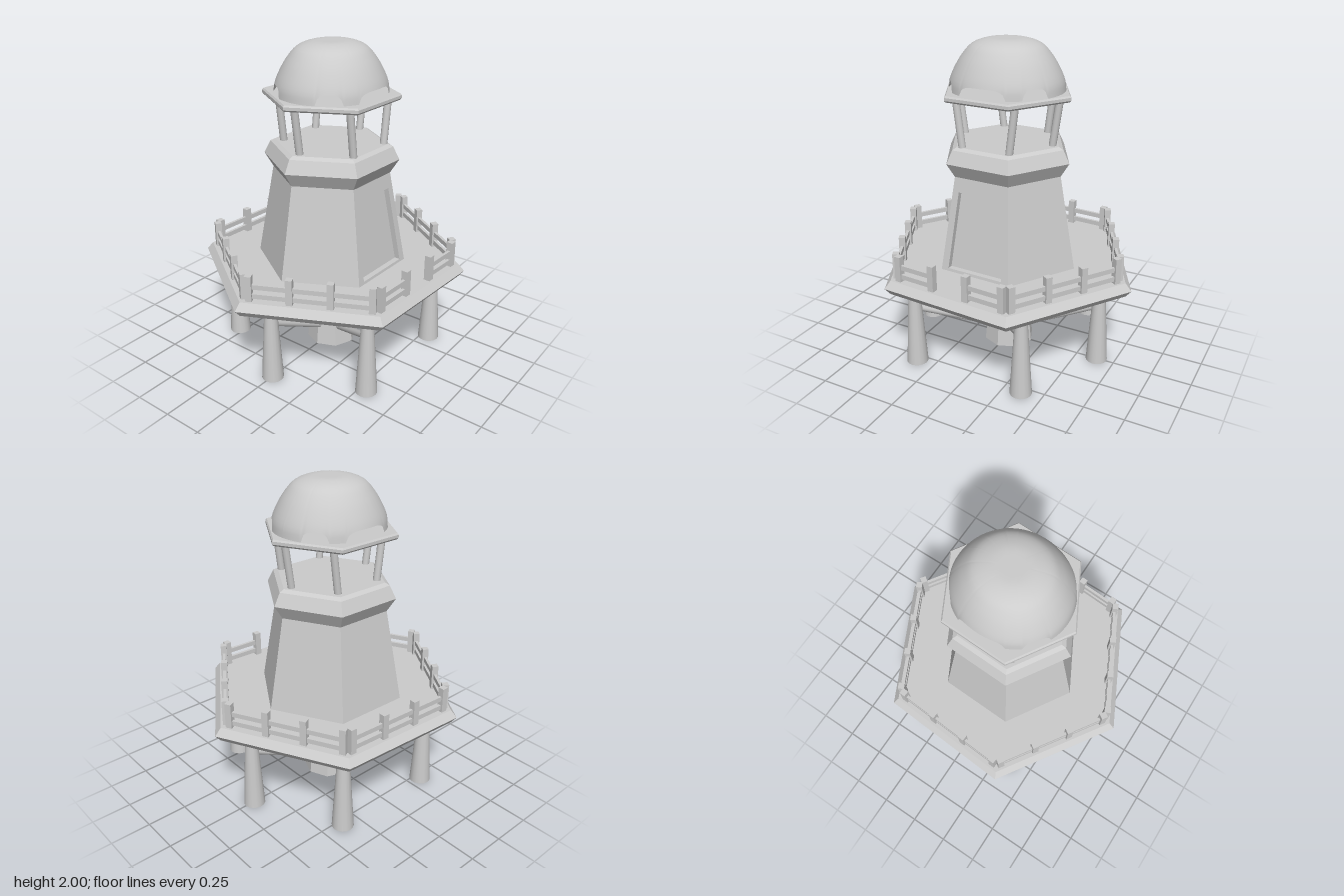
import * as THREE from 'three';

const V = (x, y, z) => new THREE.Vector3(x, y, z);
const rad = THREE.MathUtils.degToRad;
const grey = new THREE.MeshStandardMaterial({ color: 0xcccccc });
const greyFlat = new THREE.MeshStandardMaterial({ color: 0xcccccc, flatShading: true });
const greyThin = new THREE.MeshStandardMaterial({ color: 0xcccccc, side: THREE.DoubleSide });

function add(parent, name, geometry, material = grey) {
  const mesh = new THREE.Mesh(geometry, material);
  mesh.name = name;
  parent.add(mesh);
  return mesh;
}

// Point at an angle measured from +x towards +z
const polar = (r, deg, y) => V(r * Math.cos(rad(deg)), y, r * Math.sin(rad(deg)));

// Flat-sided hexagonal solid; the first corner sits at angle deg
function hexSolid(profile, deg, sides = 6) {
  const pts = profile.map(([r, y]) => new THREE.Vector2(r, y));
  return new THREE.LatheGeometry(pts, sides, rad(90 - deg), (sides / 6) * Math.PI * 2);
}

// Round bar between two points
function bar(parent, name, a, b, rA, rB = rA, sides = 12) {
  const mesh = add(parent, name, new THREE.CylinderGeometry(rB, rA, a.distanceTo(b), sides));
  mesh.position.copy(a).lerp(b, 0.5);
  mesh.quaternion.setFromUnitVectors(V(0, 1, 0), b.clone().sub(a).normalize());
}

// Square-section beam whose length runs from a to b
function beam(parent, name, a, b, height, depth) {
  const mesh = add(parent, name, new THREE.BoxGeometry(a.distanceTo(b), height, depth));
  mesh.position.copy(a).lerp(b, 0.5);
  mesh.rotation.y = -Math.atan2(b.z - a.z, b.x - a.x);
}

// Front wall with a sunken doorway, built from four-cornered faces
function doorWall(rLow, yLow, rHigh, yHigh, deg) {
  const at = (u, v) => polar(rLow, deg + 60, yLow).lerp(polar(rLow, deg, yLow), u)
    .lerp(polar(rHigh, deg + 60, yHigh).lerp(polar(rHigh, deg, yHigh), u), v);
  const outer = [at(0, 0), at(1, 0), at(1, 1), at(0, 1)];
  const rim = [at(0.1, 0.05), at(0.9, 0.05), at(0.89, 0.84), at(0.11, 0.84)];
  const sunk = rim.map((p) => p.clone().add(V(0, 0, -0.035)));
  const pos = [];
  const quad = (a, b, c, d) => [a, b, c, a, c, d].forEach((p) => pos.push(p.x, p.y, p.z));
  for (let i = 0; i < 4; i++) {
    const j = (i + 1) % 4;
    quad(outer[i], outer[j], rim[j], rim[i]);
    quad(rim[i], rim[j], sunk[j], sunk[i]);
  }
  quad(...sunk);
  const g = new THREE.BufferGeometry();
  g.setAttribute('position', new THREE.Float32BufferAttribute(pos, 3));
  g.computeVertexNormals();
  return g;
}

// Smooth dome shell whose lower edge rises into six arches
function domeGeometry() {
  const arches = [[90, 25], [270, 25], [36, 13], [144, 13], [216, 13], [324, 13]];
  const profile = new THREE.CatmullRomCurve3([
    V(0.355, 1.7, 0), V(0.346, 1.76, 0), V(0.31, 1.84, 0), V(0.265, 1.91, 0),
    V(0.21, 1.966, 0), V(0.115, 1.998, 0), V(0, 2, 0)]);
  const cols = 144, rows = 20, pos = [], index = [];
  for (let i = 0; i <= cols; i++) {
    const deg = (i / cols) * 360;
    let rise = 0;
    for (const [mid, half] of arches) {
      const d = Math.abs(((deg - mid + 540) % 360) - 180) / half;
      if (d < 1) rise = Math.sqrt(1 - d ** 4);
    }
    const start = rise * 0.165;
    for (let j = 0; j <= rows; j++) {
      const p = profile.getPoint(start + (1 - start) * (j / rows));
      const q = polar(p.x, deg, Math.min(p.y, 2));
      pos.push(q.x, q.y, q.z * 0.95);
      if (i < cols && j < rows) {
        const a = i * (rows + 1) + j, b = a + rows + 1;
        index.push(a, a + 1, b, b, a + 1, b + 1);
      }
    }
  }
  const g = new THREE.BufferGeometry();
  g.setAttribute('position', new THREE.Float32BufferAttribute(pos, 3));
  g.setIndex(index);
  g.computeVertexNormals();
  return g;
}

export function createModel() {
  const model = new THREE.Group();
  model.name = 'stiltTower';

  // Deck with a bevelled rim and a shallow conical underside
  const turn = 3.6;
  add(model, 'deck', hexSolid(
    [[0, 0.483], [0.82, 0.525], [0.855, 0.567], [0.815, 0.613], [0, 0.613]], turn), greyFlat);

  // Central pillar under the deck
  add(model, 'pillar', hexSolid([[0, 0], [0.165, 0], [0.12, 0.45], [0, 0.45]], 0, 6), greyFlat)
    .geometry = new THREE.CylinderGeometry(0.122, 0.165, 0.45, 8).translate(0, 0.225, 0);

  // Stilts and their slanting braces
  const stilts = new THREE.Group();
  stilts.name = 'stilts';
  model.add(stilts);
  const feet = [[0.634, 0], [0.364, 0.545], [-0.376, 0.545], [-0.61, 0], [-0.34, -0.535], [0.36, -0.535]];
  for (const [x, z] of feet) {
    bar(stilts, 'stilt', V(x, 0, z), V(x, 0.52, z), 0.068, 0.036, 16);
    const out = V(x, 0, z);
    const dir = out.clone().normalize();
    bar(stilts, 'brace', out.addScaledVector(dir, -0.03).setY(0.375), dir.multiplyScalar(0.13).setY(0.13), 0.02);
  }

  // Railing: four posts a side, with the middle of the front left open
  const railing = new THREE.Group();
  railing.name = 'railing';
  model.add(railing);
  for (let side = 0; side < 6; side++) {
    const a = polar(0.775, turn + side * 60, 0), b = polar(0.775, turn + side * 60 + 60, 0);
    const stops = [0.035, 0.345, 0.655, 0.965].map((t) => a.clone().lerp(b, t));
    stops.forEach((p, i) => {
      const along = b.clone().sub(a).setLength(0.02);
      beam(railing, 'railPost', p.clone().sub(along).setY(0.685), p.clone().add(along).setY(0.685), 0.18, 0.04);
      if (i === 3 || (side === 1 && i === 1)) return;
      for (const y of [0.645, 0.705])
        beam(railing, 'rail', p.clone().setY(y), stops[i + 1].clone().setY(y), 0.03, 0.018);
    });
  }

  // Tower body, collar and doorway
  const tower = new THREE.Group();
  tower.name = 'tower';
  tower.position.x = -0.01;
  model.add(tower);
  const skew = 2;
  add(tower, 'towerWalls', hexSolid([[0.477, 0.6], [0.365, 1.21]], skew + 60, 5), greyFlat);
  add(tower, 'doorway', doorWall(0.477, 0.6, 0.365, 1.21, skew + 60));
  add(tower, 'collar', hexSolid(
    [[0, 1.2], [0.365, 1.2], [0.421, 1.29], [0.38, 1.37], [0.35, 1.385], [0, 1.385]], skew), greyFlat);

  // Lantern posts lean outwards sideways
  for (const s of [-1, 1]) {
    for (const [low, high, z] of [[0.3, 0.345, 0], [0.155, 0.195, 0.28], [0.155, 0.195, -0.245]])
      bar(tower, 'lanternPost', V(s * low, 1.37, z), V(s * high, 1.68, z), 0.023, 0.023, 10);
  }

  // Roof plate and arched dome
  add(tower, 'roofPlate', hexSolid(
    [[0, 1.662], [0.412, 1.662], [0.421, 1.672], [0.421, 1.69], [0.412, 1.7], [0, 1.7]], skew), greyFlat);
  add(tower, 'dome', domeGeometry(), greyThin).position.z = 0.005;

  return model;
}
